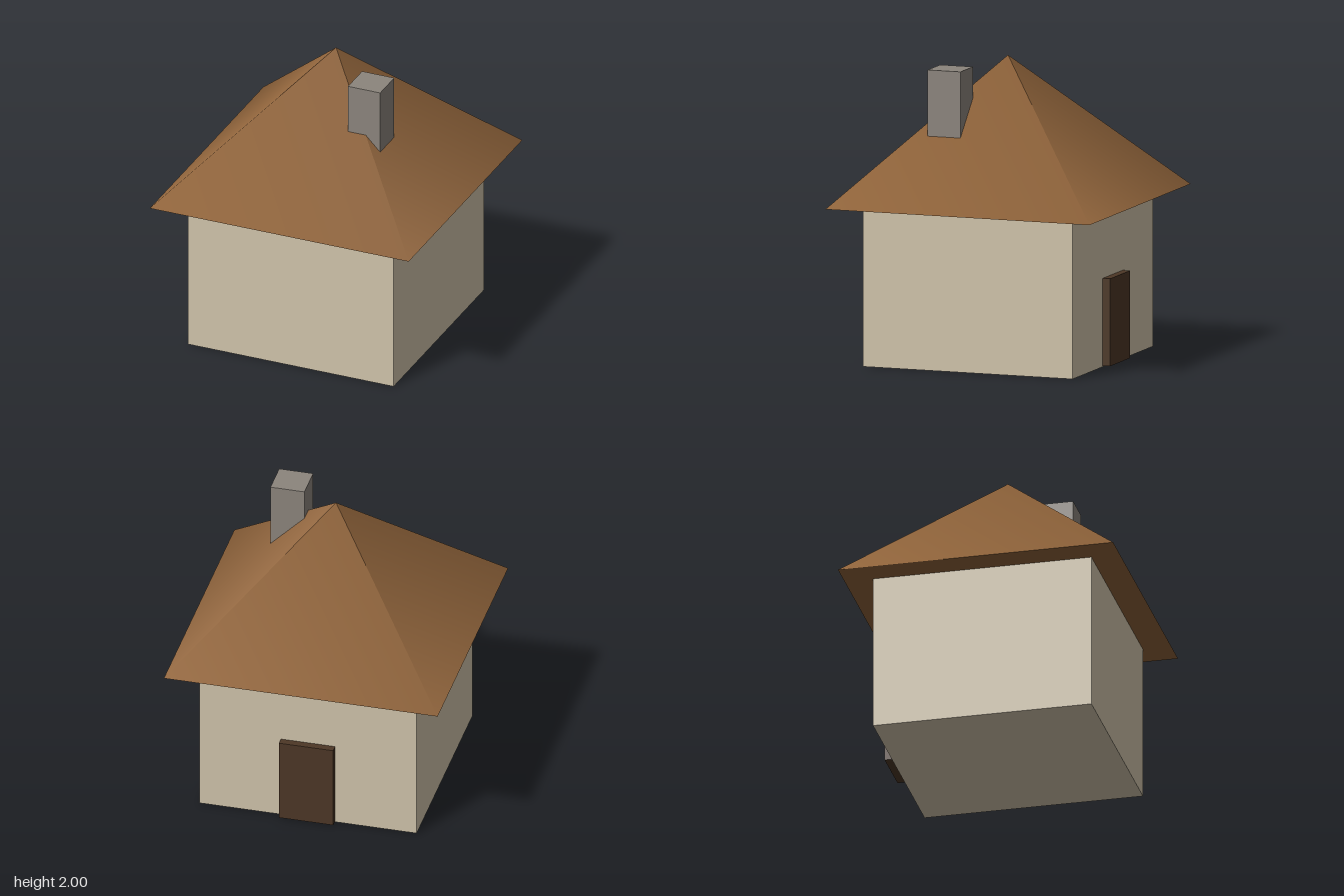
import * as THREE from 'three';

const material = (name, color) => {
  const m = new THREE.MeshStandardMaterial({ color });
  m.name = name;
  return m;
};

export function createModel() {
  const house = new THREE.Group();
  house.name = 'cottage';

  const plaster = material('cream plaster', 0xd0c4ab);
  const shingle = material('brown shingle', 0x8f633a);
  const stone = material('grey stone', 0x8c857d);
  const wood = material('dark wood', 0x4d3726);

  const add = (name, geometry, mat, x, y, z) => {
    const mesh = new THREE.Mesh(geometry, mat);
    mesh.name = name;
    mesh.position.set(x, y, z);
    house.add(mesh);
    return mesh;
  };

  const wallWidth = 1.47, wallHeight = 1.06;
  const roofHalf = 0.926, roofHeight = 2 - wallHeight;

  // Square body
  add('walls', new THREE.BoxGeometry(wallWidth, wallHeight, wallWidth), plaster, 0, wallHeight / 2, 0);

  // Four-sided pyramid roof with smooth slopes
  const roof = add('roof', new THREE.ConeGeometry(roofHalf * Math.SQRT2, roofHeight, 4),
    shingle, 0, wallHeight + roofHeight / 2, 0);
  roof.rotation.y = Math.PI / 4;

  // Chimney rising out of the front left slope
  add('chimney', new THREE.BoxGeometry(0.23, 0.59, 0.23), stone, 0.367, 1.655, 0.264);

  // Door standing proud of the back wall
  add('door', new THREE.BoxGeometry(0.367, 0.58, 0.104), wood, 0, 0.297, -0.735);

  return house;
}
